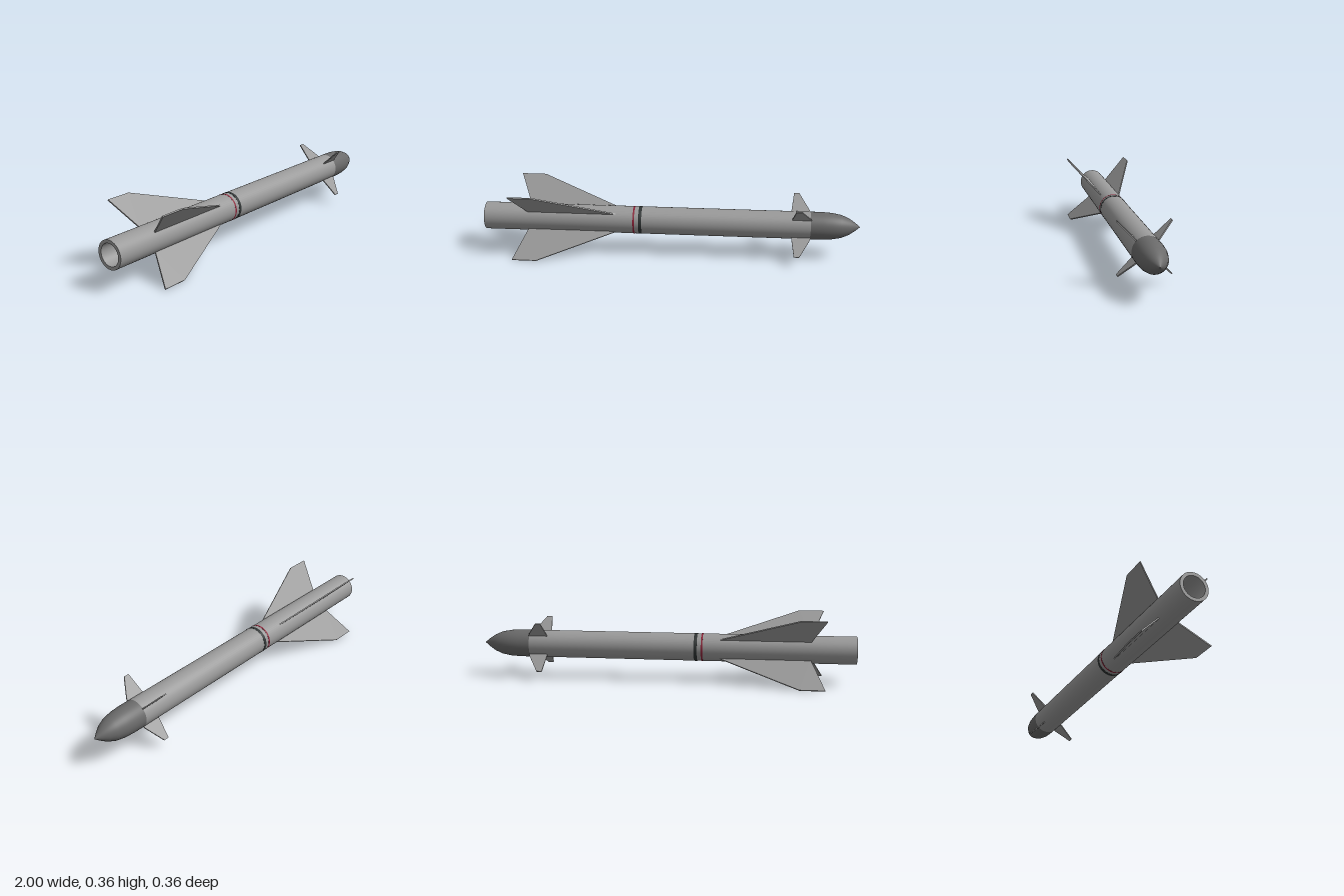
import * as THREE from 'three';

const AXIS_Y = 0.183, R = 0.073, BORE = 0.056;

const mat = (name, color) => Object.assign(new THREE.MeshStandardMaterial({ color }), { name });

export function createModel() {
  const bodyGrey = mat('bodyGrey', 0x9a9a9a);
  const noseGrey = mat('noseGrey', 0x6a6a6a);
  const bandBlack = mat('bandBlack', 0x2e3333);
  const bandRed = mat('bandRed', 0x8c2238);

  const missile = new THREE.Group();
  missile.name = 'missile';
  missile.position.y = AXIS_Y;

  const add = (name, geometry, material) => {
    const mesh = new THREE.Mesh(geometry, material);
    mesh.name = name;
    missile.add(mesh);
    return mesh;
  };

  // Surface of revolution along x, from [x, radius] pairs
  const turned = (name, profile, material) => {
    const g = new THREE.LatheGeometry(profile.map(([x, r]) => new THREE.Vector2(r, x)), 48);
    g.rotateZ(-Math.PI / 2);
    return add(name, g, material);
  };

  // Hollow body tube with rear rim and recessed exhaust
  turned('bodyTube', [[-1, R], [0.74, R]], bodyGrey);
  turned('rearRim', [[-1, BORE], [-1, R]], bodyGrey);
  turned('exhaustBore', [[-0.85, BORE], [-1, BORE]], bodyGrey);
  turned('exhaustEnd', [[-0.85, 0], [-0.85, BORE]], bodyGrey);

  // Ogive nose
  turned('nose', [[0.737, R + 0.0005], [0.8, R], [0.85, 0.07], [0.9, 0.061],
    [0.94, 0.044], [0.97, 0.024], [1, 0]], noseGrey);

  // Painted bands
  const band = (name, x, width, material) =>
    turned(name, [[x - width / 2, R], [x - width / 2, R + 0.001], [x + width / 2, R + 0.001], [x + width / 2, R]], material);
  band('redBand', -0.195, 0.009, bandRed);
  band('blackBand', -0.161, 0.017, bandBlack);

  // Four fins in an X, outlined by [x, radius] corners
  const finSet = (name, outline, thickness) => {
    const shape = new THREE.Shape(outline.map(([x, r]) => new THREE.Vector2(x, r)));
    const g = new THREE.ExtrudeGeometry(shape, { depth: thickness, bevelEnabled: false });
    g.translate(0, 0, -thickness / 2);
    for (let i = 0; i < 4; i++) {
      add(name + (i + 1), g, bodyGrey).rotation.x = Math.PI / 4 + i * Math.PI / 2;
    }
  };
  finSet('tailFin', [[-0.762, 0.066], [-0.275, 0.066], [-0.705, 0.252], [-0.835, 0.252]], 0.007);
  finSet('frontFin', [[0.639, 0.066], [0.743, 0.066], [0.737, 0.085], [0.682, 0.182], [0.654, 0.182]], 0.006);

  const root = new THREE.Group();
  root.add(missile);
  return root;
}
